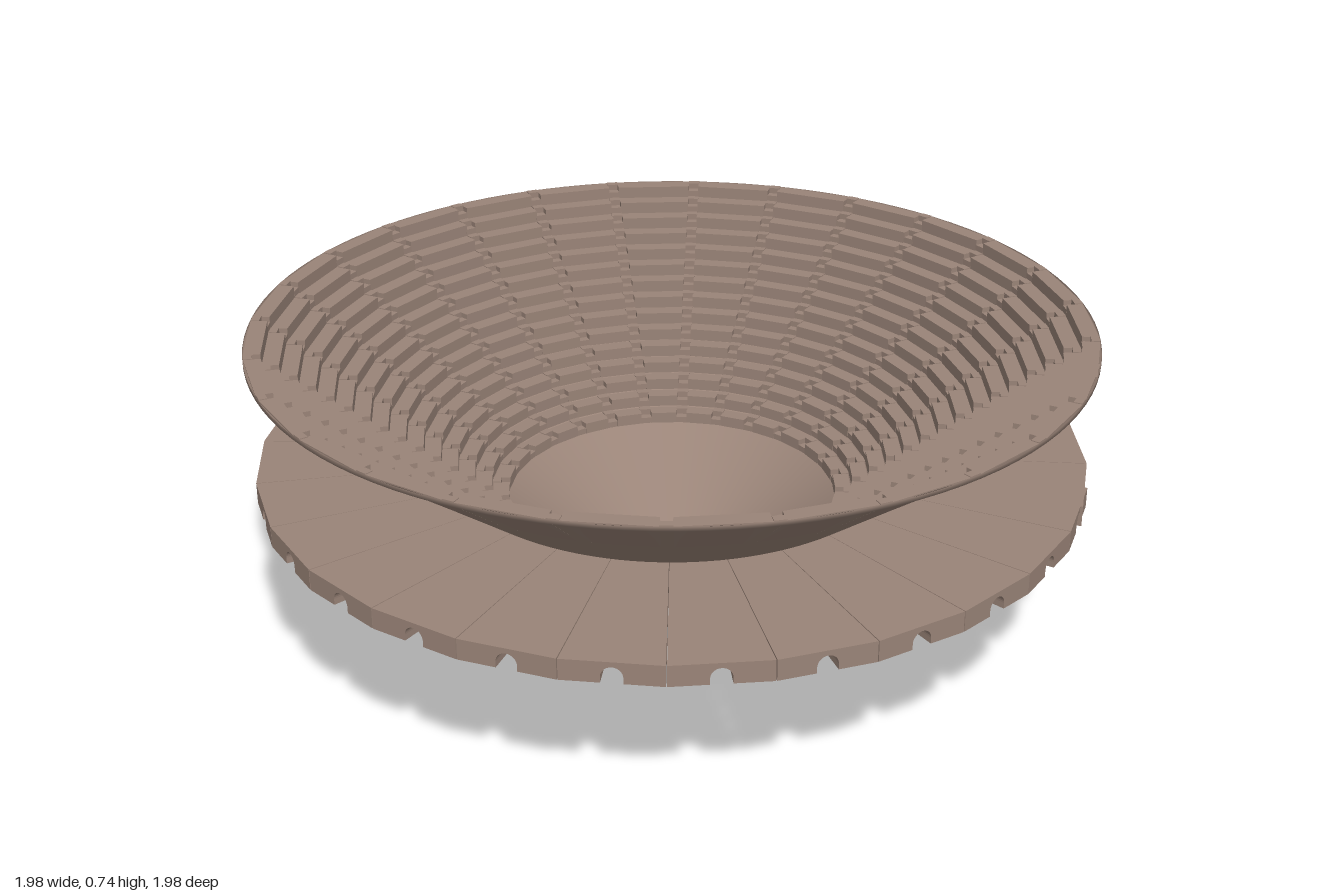
import * as THREE from 'three';

const STEP = 0.228, COUNT = 28, HALF = STEP / 2;   // wedge pitch and count; the last wedge overlaps the first
const FIRST = (Math.PI * 2 - (COUNT - 1) * STEP) / 2;
const RIM = 0.99, TOP = 0.74, SLOPE = TOP / RIM;
const INNER = 0.395, ROWS = 15;

const material = new THREE.MeshStandardMaterial({ color: 0x9a8478, side: THREE.DoubleSide });

// Stepped cross-section (x = radius, y = height) resting on the cone
function stepProfile(count, lift) {
  const depth = (RIM - INNER) / count;
  const shape = new THREE.Shape();
  shape.moveTo(INNER, INNER * SLOPE + 0.002);
  for (let i = 0; i < count; i++) {
    const r = INNER + i * depth;
    const y = Math.min((r + depth) * SLOPE + lift, TOP + 0.002);
    shape.lineTo(r, y);
    shape.lineTo(r + depth, y);
  }
  shape.lineTo(RIM, TOP - 0.003);
  return shape;
}

// Extrude a shape by one unit, then move its vertices by a rule
function extrudeWith(shape, rule) {
  const geo = new THREE.ExtrudeGeometry(shape, { depth: 1, bevelEnabled: false, curveSegments: 8 });
  const p = geo.attributes.position;
  const v = new THREE.Vector3();
  for (let i = 0; i < p.count; i++) {
    rule(v.fromBufferAttribute(p, i));
    p.setXYZ(i, v.x, v.y, v.z);
  }
  geo.computeVertexNormals();
  return geo;
}

// One block of seat rows, widening outwards and leaving room for the stairs
function seatGeometry() {
  return extrudeWith(stepProfile(ROWS, 0), v => {
    v.z = (v.z - 0.5) * 2 * (v.x * Math.sin(HALF) - 0.013);
    v.x *= Math.cos(HALF);
  });
}

// Stairs of constant width with two steps per row
function stairGeometry() {
  return extrudeWith(stepProfile(ROWS * 2, 0.002), v => {
    v.z = (v.z - 0.5) * 0.028;
    v.x *= 0.998;
  });
}

// Platform wedge with an arched groove along its underside
function platformGeometry() {
  const y0 = 0.37, y1 = 0.42, a = 0.024;
  const outer = 0.985, inner = 0.495;
  const w = outer * Math.sin(HALF) - 0.001;
  const shape = new THREE.Shape();
  shape.moveTo(-w, y0);
  shape.lineTo(-a, y0);
  shape.lineTo(-a, y0 + 0.014);
  shape.absarc(0, y0 + 0.014, a, Math.PI, 0, true);
  shape.lineTo(a, y0);
  shape.lineTo(w, y0);
  shape.lineTo(w, y1);
  shape.lineTo(-w, y1);
  return extrudeWith(shape, v => {
    // the inner end leans outwards with the cone
    const r = v.z > 0.5 ? outer : inner + (v.y - y0) / SLOPE;
    if (Math.abs(v.x) > a + 0.001) v.x *= r / outer;
    v.z = r * Math.cos(HALF);
  });
}

export function createModel() {
  const model = new THREE.Group();
  model.name = 'amphitheatre';
  const add = (name, geometry, angle = 0) => {
    const mesh = new THREE.Mesh(geometry, material);
    mesh.name = name;
    mesh.rotation.y = angle;
    model.add(mesh);
  };

  // Open cone shell; its inside is the arena floor
  const cone = [[0, 0], [0.39, 0.39 * SLOPE], [0.975, 0.975 * SLOPE], [RIM, 0.73], [RIM, TOP]];
  add('coneShell', new THREE.LatheGeometry(cone.map(([x, y]) => new THREE.Vector2(x, y)), 112));

  // Seating and surrounding platform, wedge by wedge
  const seats = seatGeometry(), stairs = stairGeometry(), platform = platformGeometry();
  for (let i = 0; i < COUNT; i++) {
    const angle = FIRST + i * STEP;
    add('seatBlock', seats, angle);
    add('platformWedge', platform, angle + Math.PI / 2);
    if (i < COUNT - 1) add('stairs', stairs, angle + HALF);
  }
  // Stairs bounding the overlapped pair of blocks stay as the last ones on each side
  return model;
}
